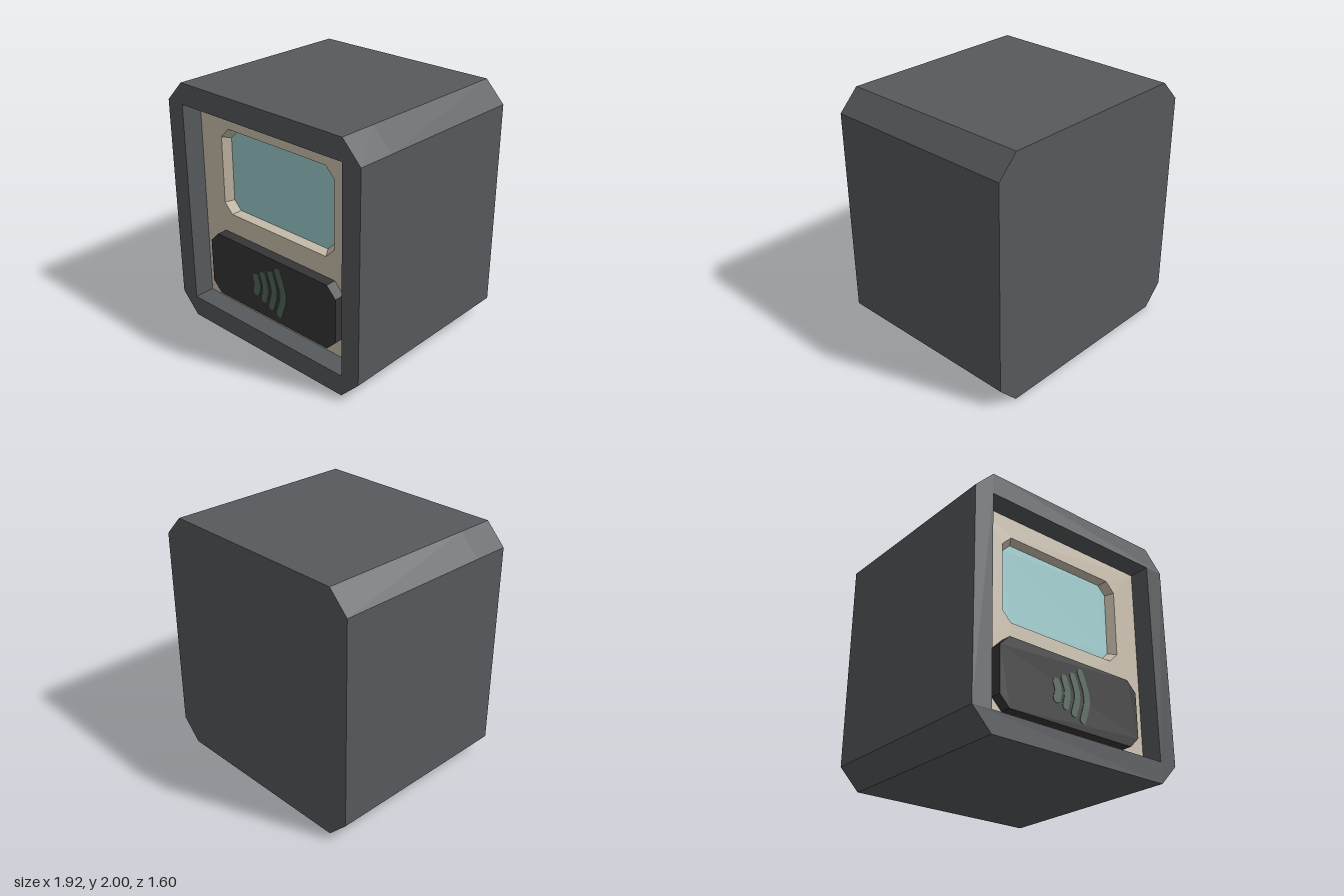
import * as THREE from 'three';

const material = (name, color) => new THREE.MeshStandardMaterial({ name, color });

// Corners of a rectangle with cut corners, counter-clockwise from the bottom left
function cutCorners(halfW, y0, y1, cx, cy = cx) {
  return [
    [-halfW + cx, y0], [halfW - cx, y0], [halfW, y0 + cy], [halfW, y1 - cy],
    [halfW - cx, y1], [-halfW + cx, y1], [-halfW, y1 - cy], [-halfW, y0 + cy],
  ].map(([x, y]) => new THREE.Vector2(x, y));
}

const rectangle = (halfW, y0, y1) => [
  new THREE.Vector2(-halfW, y0), new THREE.Vector2(halfW, y0),
  new THREE.Vector2(halfW, y1), new THREE.Vector2(-halfW, y1),
];

function shapeOf(points, hole) {
  const shape = new THREE.Shape(points);
  if (hole) shape.holes.push(new THREE.Path(hole));
  return shape;
}

function slab(shape, z0, z1) {
  return new THREE.ExtrudeGeometry(shape, { depth: z1 - z0, bevelEnabled: false })
    .translate(0, 0, z0);
}

// Flat-faced band joining two loops that have the same number of corners
function band(outer, zOuter, inner, zInner) {
  const positions = [];
  outer.forEach((a, i) => {
    const j = (i + 1) % outer.length;
    const b = outer[j], c = inner[j], d = inner[i];
    positions.push(
      a.x, a.y, zOuter, b.x, b.y, zOuter, c.x, c.y, zInner,
      a.x, a.y, zOuter, c.x, c.y, zInner, d.x, d.y, zInner,
    );
  });
  const geometry = new THREE.BufferGeometry();
  geometry.setAttribute('position', new THREE.Float32BufferAttribute(positions, 3));
  geometry.computeVertexNormals();
  return geometry;
}

// Round-ended curved stroke through three points
function stroke([start, middle, end], width) {
  const curve = new THREE.SplineCurve([start, middle, end].map((p) => new THREE.Vector2(...p)));
  const r = width / 2, n = 12, left = [], right = [], endCap = [], startCap = [];
  for (let i = 0; i <= n; i++) {
    const p = curve.getPoint(i / n), t = curve.getTangent(i / n);
    left.push(new THREE.Vector2(p.x - t.y * r, p.y + t.x * r));
    right.push(new THREE.Vector2(p.x + t.y * r, p.y - t.x * r));
  }
  const cap = (list, u, sign) => {
    const p = curve.getPoint(u), t = curve.getTangent(u);
    const a0 = Math.atan2(t.y, t.x) + sign;
    for (let k = 1; k < 8; k++) {
      const a = a0 - (Math.PI * k) / 8;
      list.push(new THREE.Vector2(p.x + Math.cos(a) * r, p.y + Math.sin(a) * r));
    }
  };
  cap(endCap, 1, Math.PI / 2);
  cap(startCap, 0, -Math.PI / 2);
  return new THREE.Shape([...left, ...endCap, ...right.reverse(), ...startCap]);
}

export function createModel() {
  const grey = material('casing grey', 0x565a5d);
  const cream = material('panel cream', 0xcfc4b1);
  const glass = material('screen aqua', 0x9dcfd0);
  const black = material('reader black', 0x363636);
  const green = material('signal green', 0x52695a);

  const model = new THREE.Group();
  model.name = 'cardReader';
  const add = (name, geometry, mat, parent = model) => {
    const mesh = new THREE.Mesh(geometry, mat);
    mesh.name = name;
    parent.add(mesh);
  };

  const panelZ = 0.63, screenZ = 0.57, padZ = 0.715;

  // Casing: solid rear block and a front rim around the recess
  const outline = cutCorners(0.96, 0, 2, 0.16, 0.165);
  const opening = rectangle(0.8, 0.17, 1.83);
  add('casingBlock', slab(shapeOf(outline), -0.8, 0.5), grey);
  add('casingRim', slab(shapeOf(outline, opening), 0.5, 0.8), grey);

  // Recessed panel with a bevelled screen opening
  const screenOuter = cutCorners(0.575, 0.96, 1.665, 0.08);
  const screenInner = cutCorners(0.53, 0.985, 1.64, 0.07);
  add('frontPanel',
    new THREE.ShapeGeometry(shapeOf(opening, screenOuter)).translate(0, 0, panelZ), cream);
  add('screenBevel', band(screenOuter, panelZ, screenInner, screenZ), cream);
  add('screen', new THREE.ShapeGeometry(shapeOf(screenInner)).translate(0, 0, screenZ), glass);

  // Raised tap pad
  add('tapPad', slab(shapeOf(cutCorners(0.665, 0.26, 0.795, 0.085)), panelZ, padZ), black);

  // Signal arcs painted on the pad
  const arcs = new THREE.Group();
  arcs.name = 'signalArcs';
  model.add(arcs);
  [
    [[[-0.155, 0.57], [-0.14, 0.505], [-0.155, 0.445]], 0.066],
    [[[-0.08, 0.62], [-0.05, 0.515], [-0.07, 0.41]], 0.058],
    [[[0.005, 0.66], [0.045, 0.515], [0.008, 0.375]], 0.056],
    [[[0.08, 0.71], [0.14, 0.52], [0.093, 0.345]], 0.058],
  ].forEach(([points, width], i) => {
    add(`signalArc${i + 1}`, slab(stroke(points, width), padZ, padZ + 0.004), green, arcs);
  });

  return model;
}
